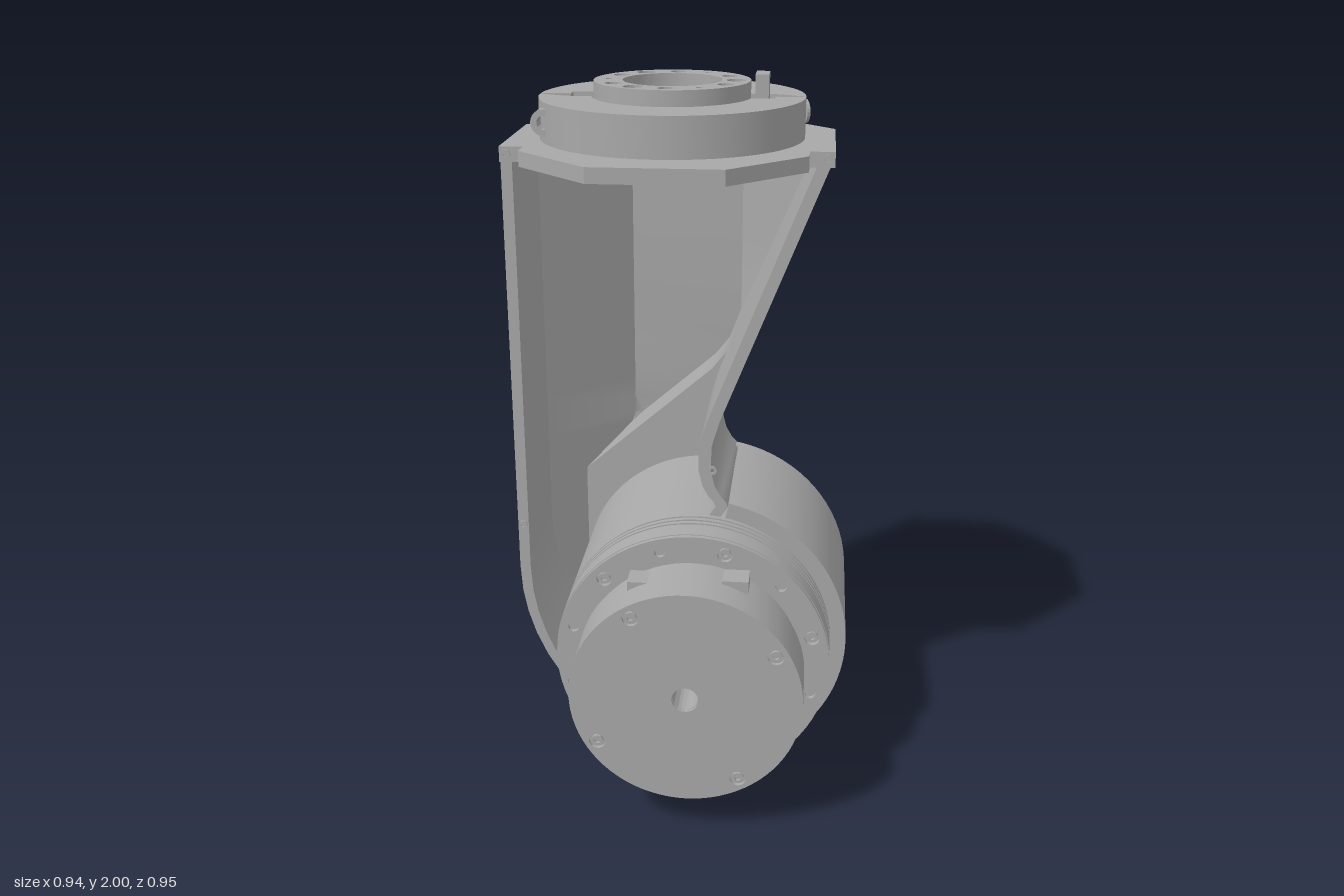
import * as THREE from 'three';
import { toCreasedNormals } from 'three/addons/utils/BufferGeometryUtils.js';

const grey = new THREE.MeshStandardMaterial({ color: 0xa8a8a8 });
grey.name = 'machined grey';
const AX = 0.04, AY = 0.43;   // joint axis, along z
const CX = -0.043, CZ = -0.045; // wrist collar axis, along y
const clamp = THREE.MathUtils.clamp;

export function createModel() {
  const model = new THREE.Group();
  const add = (name, geo) => {
    const mesh = new THREE.Mesh(toCreasedNormals(geo, 0.5), grey);
    mesh.name = name;
    model.add(mesh);
    return mesh;
  };
  const circle = (x, y, r, Type = THREE.Path) => new Type().absarc(x, y, r, 0, Math.PI * 2);
  // holes are [x, y, radius] in the plane of the plate
  const plate = (shape, holes, depth) => {
    for (const h of holes) shape.holes.push(circle(...h));
    return new THREE.ExtrudeGeometry(shape, { depth, bevelEnabled: false, curveSegments: 40 });
  };
  const disc = (r, holes, depth) => plate(circle(0, 0, r, THREE.Shape), holes, depth);
  const ringOf = (n, radius, start, size) => Array.from({ length: n }, (_, i) => {
    const a = THREE.MathUtils.degToRad(start) + i * 2 * Math.PI / n;
    return [radius * Math.cos(a), radius * Math.sin(a), typeof size === 'function' ? size(i) : size];
  });
  const lathe = (pts, start = 0, length = Math.PI * 2) =>
    new THREE.LatheGeometry(pts.map(p => new THREE.Vector2(...p)), 72, start, length)
      .rotateX(Math.PI / 2).translate(AX, AY, 0);
  const onAxis = (geo, z) => geo.translate(AX, AY, z);
  const upright = (geo, y) => geo.rotateX(-Math.PI / 2).translate(0, y, 0);

  // Hollow arm housing, open to the front
  add('armHousing', housing());

  // Right-hand skin round the joint, and its bolted rear face
  add('jointSkin', lathe([[0.385, -0.3], [0.43, -0.3], [0.43, 0.13], [0.385, 0.13], [0.385, -0.3]],
    THREE.MathUtils.degToRad(-25), THREE.MathUtils.degToRad(193)));
  add('jointRearFace', onAxis(disc(0.43, [[0, 0, 0.25], ...ringOf(6, 0.34, 0, 0.022)], 0.03), -0.33));

  // Motor body with cooling grooves and a through bore
  const profile = [[0.035, -0.335], [0.225, -0.335], [0.225, -0.3], [0.385, -0.3], [0.385, 0.145]];
  for (let i = 0; i < 3; i++) {
    const z = 0.145 + i * 0.022;
    profile.push([0.372, z], [0.372, z + 0.008], [0.385, z + 0.008], [0.385, z + 0.022]);
  }
  profile.push([0.385, 0.262], [0.305, 0.262], [0.305, 0.305], [0.315, 0.312],
    [0.315, 0.47], [0.035, 0.47], [0.035, -0.335]);
  add('motorBody', lathe(profile));
  add('motorFlange', onAxis(disc(0.383,
    [[0, 0, 0.304], ...ringOf(12, 0.345, 15, i => i % 2 ? 0.015 : 0.021)], 0.014), 0.261));
  add('motorCap', onAxis(disc(0.315, [[0, 0, 0.036], ...ringOf(4, 0.28, 31, 0.022)], 0.01), 0.47));
  for (const [x, y] of ringOf(4, 0.28, 31, 0)) {
    add('capScrew', onAxis(disc(0.016, [[0, 0, 0.008]], 0.008).translate(x, y, 0), 0.47));
  }
  for (const [x, y] of ringOf(6, 0.345, 15, 0)) {
    add('flangeScrew', onAxis(disc(0.016, [[0, 0, 0.008]], 0.01).translate(x, y, 0), 0.261));
  }
  // Cable sockets on the motor
  for (const x of [-0.09, 0.165]) {
    add('cableSocket', new THREE.BoxGeometry(0.07, 0.05, 0.07).translate(x, x > 0 ? 0.715 : 0.7, 0.347));
  }

  // Rear output disc with centre hub
  add('outputDisc', onAxis(disc(0.225, [[0, 0, 0.09],
    ...ringOf(8, 0.165, 22, i => i % 2 ? 0.014 : 0.024)], 0.02), -0.355));
  add('outputHub', onAxis(disc(0.086, [[0, 0, 0.03], ...ringOf(6, 0.058, 0, 0.014)], 0.014), -0.349));

  // Octagonal top plate with stepped front corners
  const oct = new THREE.Shape([[-0.41, -0.13], [-0.41, -0.19], [-0.21, -0.387], [0.128, -0.387],
    [0.322, -0.195], [0.322, -0.13], [0.387, -0.13], [0.387, 0.22], [0.128, 0.475],
    [-0.208, 0.475], [-0.473, 0.22], [-0.473, -0.13]].map(p => new THREE.Vector2(...p)));
  add('topPlate', upright(plate(oct, [[CX, -CZ, 0.13]], 0.04), 1.79));

  // Split clamp collar in two halves with key slots
  const R = 0.35, r = 0.212, gap = 0.006, key = 0.04;
  for (const s of [1, -1]) {
    const half = new THREE.Shape();
    const g = Math.asin(gap / R), k = Math.asin(key / r);
    half.moveTo(0.275, gap);
    half.absarc(0, 0, R, g, Math.PI - g, false);
    half.lineTo(-0.27, gap);
    half.lineTo(-0.27, key);
    half.absarc(0, 0, r, Math.PI - k, k, true);
    half.lineTo(0.275, key);
    const geo = plate(half, [], 0.105);
    if (s < 0) geo.rotateZ(Math.PI).scale(1, 1, 1);
    add('clampCollar', upright(geo.translate(CX, -CZ, 0), 1.835));
  }
  // Clamp screw eye and side pocket rim
  add('clampScrew', disc(0.034, [[0, 0, 0.018]], 0.06).translate(-0.355, 1.89, 0.065));
  const slot = new THREE.Shape();
  slot.absarc(0.05, 0, 0.032, -Math.PI / 2, Math.PI / 2);
  slot.absarc(-0.05, 0, 0.032, Math.PI / 2, Math.PI * 1.5);
  add('clampPocket', plate(slot, [], 0.008).rotateY(Math.PI / 2 + 0.4)
    .translate(CX + 0.322, 1.89, CZ - 0.138));

  // Wrist hub with its bolt pattern
  const bolts = [[0, 0.165, 0.021], [0, -0.165, 0.021], [-0.085, 0.143, 0.026], [-0.085, -0.143, 0.026],
    [-0.145, 0.083, 0.021], [-0.145, -0.083, 0.021], [0.145, 0.083, 0.021], [0.145, -0.083, 0.021],
    [0.167, 0, 0.025], [-0.167, 0, 0.009], [0.084, 0.145, 0.009], [0.084, -0.145, 0.009]];
  add('wristHubBase', upright(disc(0.206, [[0, 0, 0.13]], 0.16).translate(CX, -CZ, 0), 1.8));
  add('wristHub', upright(disc(0.206, [[0, 0, 0.13], ...bolts], 0.02).translate(CX, -CZ, 0), 1.96));
  for (const [x, y, size] of bolts.slice(0, 8)) {
    add('hubScrew', upright(disc(size - 0.005, [[0, 0, 0.008]], 0.012).translate(CX + x, y - CZ, 0), 1.96));
  }
  add('hubKey', new THREE.BoxGeometry(0.035, 0.15, 0.076).translate(0.193, 1.925, CZ));
  add('hubKeyFoot', new THREE.BoxGeometry(0.06, 0.09, 0.076).translate(0.195, 1.88, CZ));

  // Cover screws on the housing rim
  for (const [x, y] of [[-0.456, 1.81], [0.368, 1.81], [-0.456, 0.76], [0.082, 0.95]]) {
    add('rimScrew', disc(0.013, [[0, 0, 0.006]], 0.004).translate(x, y, 0.13));
  }
  return model;
}

// Right edge of the housing by height: straight slope, then a hollow curve into the joint
const rightEdge = [[0, 0.1], [0.8, 0.1], [0.845, 0.13], [0.87, 0.107], [0.9, 0.09], [0.95, 0.078],
  [1.02, 0.08], [1.09, 0.1], [1.81, 0.383]];
function xRight(y) {
  const i = rightEdge.findIndex(p => p[0] >= y);
  const [y0, x0] = rightEdge[Math.max(0, i - 1)], [y1, x1] = rightEdge[i];
  return y1 === y0 ? x1 : x0 + (x1 - x0) * (y - y0) / (y1 - y0);
}

// Horizontal section at height y, inset by t: left front, round the back, right front
function section(y, t) {
  const xl = (y > 0.63 ? -0.47 : 0.16 - Math.sqrt(0.397 - (0.63 - y) ** 2)) + t;
  const xr = xRight(y) - 1.15 * t;
  const lo = Math.max(xl, -0.355 + 0.41 * t);
  const cut = -0.205 + (y - 0.84) / 0.87 - 1.5 * t; // slanting lower end of the back bulge
  const xc = clamp(cut, lo, Math.max(lo, xr));
  const joint = -0.33 + t;
  const limit = cut <= lo ? joint : -0.475 + t;
  const back = x => Math.max(limit, x - 0.603 + 1.41 * t, -x - 0.685 + 1.41 * t);
  const a = Math.max(xl, Math.min(-0.205, xc)), b = Math.max(xl, Math.min(0.125, xc));
  return [[xl, 0.13], [xl, back(xl)], [a, back(a)], [b, back(b)], [xc, back(xc)],
    [xc, Math.max(joint, back(xc))], [xr, Math.max(joint, back(xr))], [xr, 0.13]];
}

function housing() {
  const rows = [0.03, 0.05, 0.08, 0.12, 0.16, 0.21, 0.27, 0.34, 0.41, 0.48, 0.55, 0.63, 0.709, 0.76,
    0.8, 0.84, 0.855, 0.87, 0.9, 0.95, 1.02, 1.06, 1.098, 1.154, 1.25, 1.53, 1.79];
  const rings = rows.map(y => [...section(y, 0), ...section(y, 0.03).reverse()]
    .map(([x, z]) => [x, y, z]));
  const pos = [];
  for (let j = 0; j + 1 < rings.length; j++) {
    const lower = rings[j], upper = rings[j + 1], n = lower.length;
    for (let i = 0; i < n; i++) {
      const k = (i + 1) % n;
      pos.push(...lower[i], ...upper[k], ...lower[k], ...lower[i], ...upper[i], ...upper[k]);
    }
  }
  const geo = new THREE.BufferGeometry();
  geo.setAttribute('position', new THREE.Float32BufferAttribute(pos, 3));
  return geo;
}
